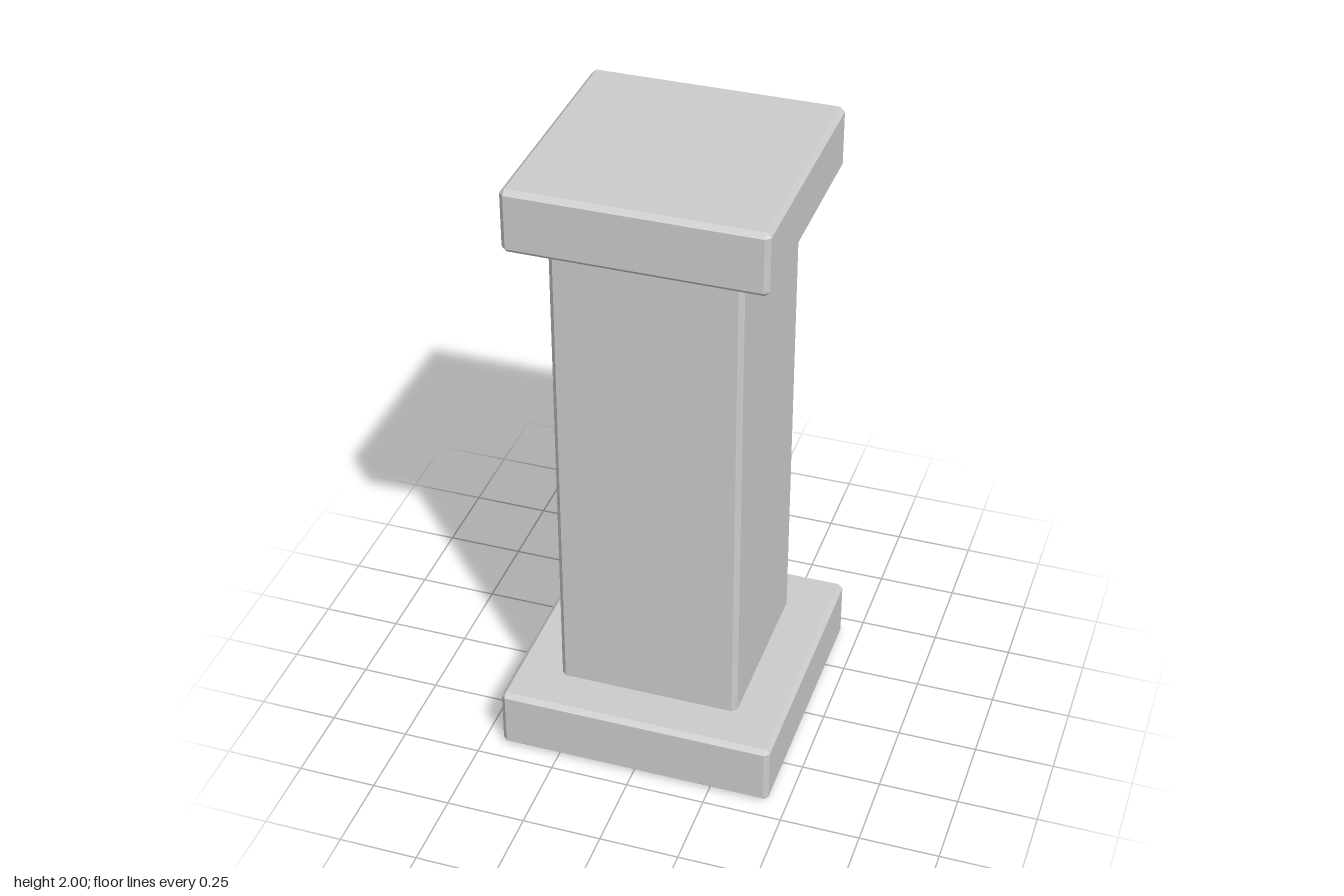
import * as THREE from 'three';
import { ConvexGeometry } from 'three/addons/geometries/ConvexGeometry.js';

const material = new THREE.MeshStandardMaterial({ color: 0xcccccc, flatShading: true });

// Square block with chamfered edges and clipped corners, from y0 to y1
function chamferedBlock(name, half, y0, y1, c) {
  const h = (y1 - y0) / 2;
  const points = [];
  for (const x of [-1, 1]) for (const y of [-1, 1]) for (const z of [-1, 1]) {
    points.push(
      new THREE.Vector3(x * half, y * (h - c), z * (half - c)),
      new THREE.Vector3(x * (half - c), y * h, z * (half - c)),
      new THREE.Vector3(x * (half - c), y * (h - c), z * half),
    );
  }
  const mesh = new THREE.Mesh(new ConvexGeometry(points), material);
  mesh.name = name;
  mesh.position.y = (y0 + y1) / 2;
  return mesh;
}

export function createModel() {
  const pillar = new THREE.Group();
  pillar.name = 'pillar';
  pillar.add(
    chamferedBlock('base', 0.44, 0, 0.205, 0.015),
    // Shaft ends are sunk into the base and cap
    chamferedBlock('shaft', 0.29, 0.18, 1.82, 0.015),
    chamferedBlock('cap', 0.39, 1.8, 2, 0.015),
  );
  return pillar;
}
